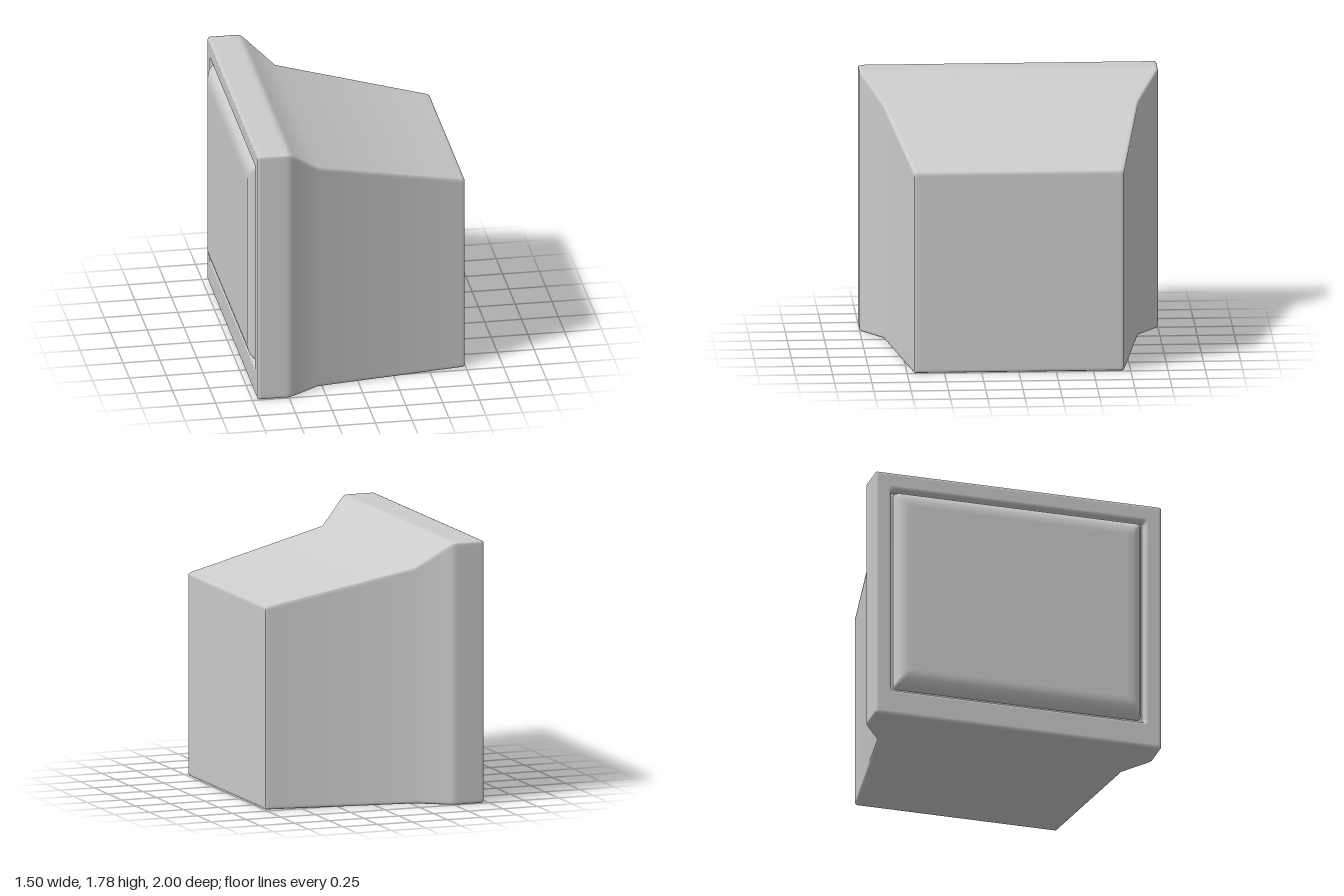
import * as THREE from 'three';
import { toCreasedNormals } from 'three/addons/utils/BufferGeometryUtils.js';

const CORNER_STEPS = 4;

// Rounded rectangle in the y/z plane, with an extra point beside each corner
// so that the flat sides stay flat under smooth normals.
function ring([x, halfZ, y0, y1, r]) {
  const pts = [];
  const pad = Math.max(r, 0.005);
  const corners = [[1, 1], [-1, 1], [-1, -1], [1, -1]];
  corners.forEach(([sz, sy], c) => {
    const cz = sz * (halfZ - r);
    const cy = sy > 0 ? y1 - r : y0 + r;
    const arc = [];
    for (let k = 0; k <= CORNER_STEPS; k++) {
      const a = (c + k / CORNER_STEPS) * Math.PI / 2;
      arc.push(new THREE.Vector3(x, cy + r * Math.sin(a), cz + r * Math.cos(a)));
    }
    const a0 = c * Math.PI / 2;
    const before = arc[0].clone().add(new THREE.Vector3(0, -Math.cos(a0) * pad, Math.sin(a0) * pad));
    const a1 = a0 + Math.PI / 2;
    const after = arc[CORNER_STEPS].clone().add(new THREE.Vector3(0, Math.cos(a1) * pad, -Math.sin(a1) * pad));
    pts.push(before, ...arc, after);
  });
  return pts;
}

// Skin a row of cross-sections; either end may be closed with a flat cap.
function loft(sections, capStart, capEnd) {
  const rings = sections.map(ring);
  const n = rings[0].length;
  const pos = [];
  const tri = (...v) => v.forEach((p) => pos.push(p.x, p.y, p.z));
  const centre = ([x, , y0, y1]) => new THREE.Vector3(x, (y0 + y1) / 2, 0);
  for (let j = 0; j < n; j++) {
    const k = (j + 1) % n;
    for (let i = 0; i < rings.length - 1; i++) {
      const a = rings[i][j], b = rings[i][k], c = rings[i + 1][j], d = rings[i + 1][k];
      tri(a, c, b);
      tri(b, c, d);
    }
    if (capStart) tri(centre(sections[0]), rings[0][j], rings[0][k]);
    if (capEnd) {
      const last = rings.length - 1;
      tri(centre(sections[last]), rings[last][k], rings[last][j]);
    }
  }
  const g = new THREE.BufferGeometry();
  g.setAttribute('position', new THREE.Float32BufferAttribute(pos, 3));
  return toCreasedNormals(g, 0.8);
}

export function createModel() {
  const group = new THREE.Group();
  const material = new THREE.MeshStandardMaterial({ color: 0xcccccc });
  const add = (name, geometry) => {
    const mesh = new THREE.Mesh(geometry, material);
    mesh.name = name;
    group.add(mesh);
  };

  // Casing: screen recess, bezel, sloping shoulder and tapering rear.
  // Each section is [x, half depth, bottom, top, corner radius].
  add('casing', loft([
    [-0.66, 0.84, 0.22, 1.63, 0.02],
    [-0.66, 0.88, 0.19, 1.66, 0.02],
    [-0.70, 0.888, 0.182, 1.668, 0.02],
    [-0.711, 0.892, 0.178, 1.672, 0.02],
    [-0.715, 0.9, 0.17, 1.68, 0.02],
    [-0.715, 0.91, 0.16, 1.69, 0.02],
    [-0.715, 0.975, 0.025, 1.76, 0.015],
    [-0.715, 0.985, 0.015, 1.77, 0.015],
    [-0.7106, 0.9956, 0.0044, 1.7806, 0.015],
    [-0.70, 1, 0, 1.785, 0.015],
    [-0.69, 1, 0, 1.785, 0.015],
    [-0.53, 1, 0, 1.785, 0.015],
    [-0.505, 1, 0, 1.785, 0.015],
    [-0.485, 0.994, 0, 1.778, 0.015],
    [-0.46, 0.978, 0, 1.759, 0.015],
    [-0.28, 0.855, 0, 1.61, 0.015],
    [0.72, 0.709, 0, 1.387, 0.015],
    [0.73, 0.707, 0, 1.384, 0.015],
    [0.7415, 0.702, 0.0044, 1.378, 0.015],
    [0.746, 0.69, 0.015, 1.366, 0.015],
    [0.746, 0.68, 0.025, 1.356, 0.015],
  ], false, true));

  // Screen: a shallow cushion standing slightly proud of the bezel.
  add('screen', loft([
    [-0.75, 0.75, 0.34, 1.53, 0.02],
    [-0.75, 0.79, 0.31, 1.56, 0.02],
    [-0.742, 0.815, 0.274, 1.595, 0.02],
    [-0.73, 0.835, 0.25, 1.62, 0.02],
    [-0.71, 0.85, 0.23, 1.64, 0.02],
    [-0.68, 0.862, 0.215, 1.65, 0.02],
    [-0.655, 0.865, 0.21, 1.652, 0.02],
  ], true, false));

  return group;
}
